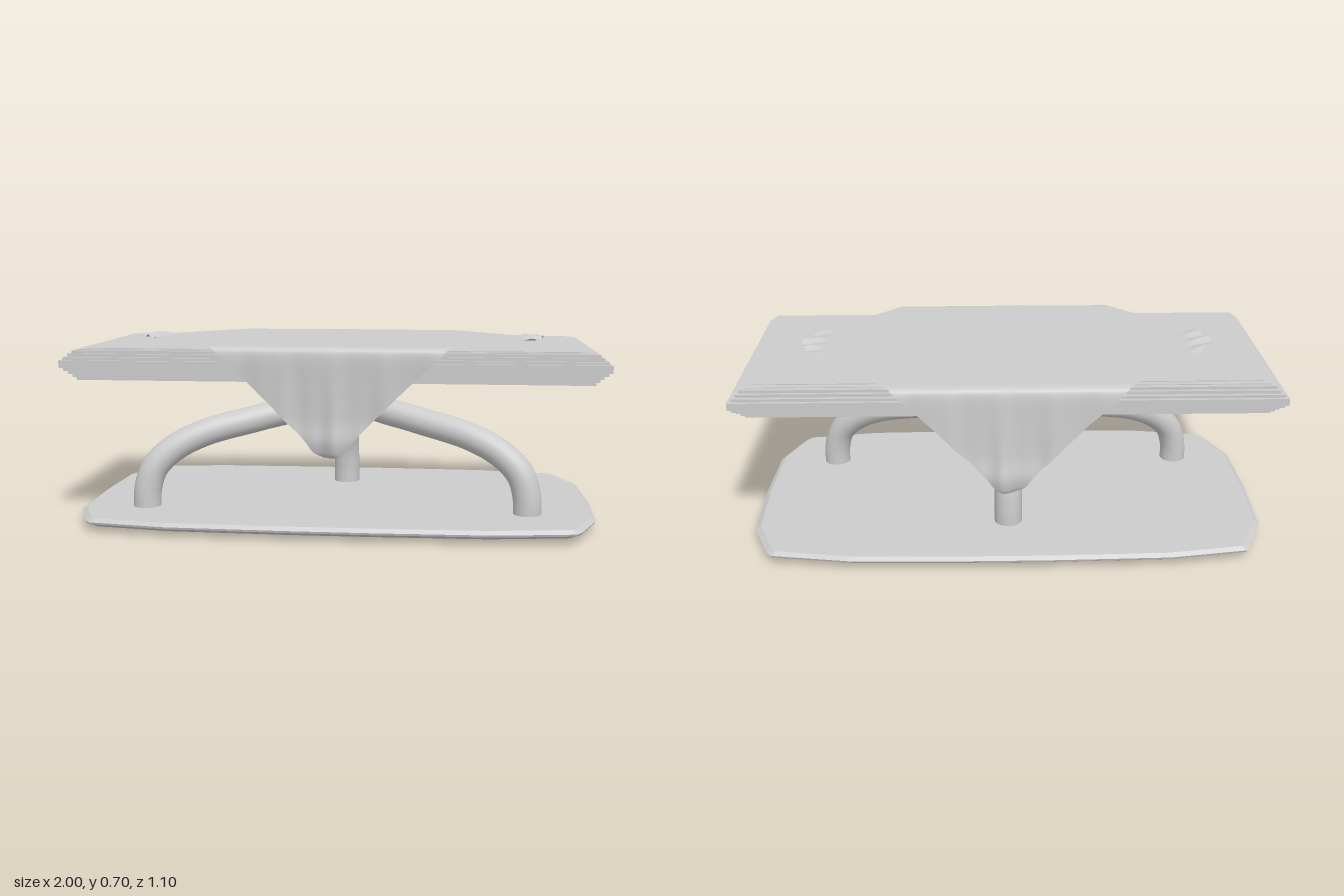
import * as THREE from 'three';

const grey = new THREE.MeshStandardMaterial({ color: 0xcccccc });
const flat = new THREE.MeshStandardMaterial({ color: 0xcccccc, flatShading: true });
const thin = new THREE.MeshStandardMaterial({ color: 0xcccccc, side: THREE.DoubleSide });

function add(parent, name, geometry, material) {
  const mesh = new THREE.Mesh(geometry, material);
  mesh.name = name;
  parent.add(mesh);
  return mesh;
}

// Skin a list of equally long rows of [x, y, z] points
function skin(rows, closed) {
  const n = rows[0].length, index = [];
  for (let r = 0; r < rows.length - 1; r++) {
    for (let i = 0; i < (closed ? n : n - 1); i++) {
      const a = r * n + i, b = r * n + (i + 1) % n, c = a + n, d = b + n;
      index.push(a, c, b, b, c, d);
    }
  }
  const g = new THREE.BufferGeometry();
  g.setAttribute('position', new THREE.Float32BufferAttribute(rows.flat(2), 3));
  g.setIndex(index);
  g.computeVertexNormals();
  return g;
}

// Long bevelled slab, outline mirrored from one quarter
function baseGeometry() {
  const q = [[0.98, 0.3], [0.91, 0.47], [0.89, 0.497], [0.6, 0.54], [0.15, 0.55]];
  const back = [...q].reverse();
  const outline = [
    [0.99, 0], ...q, ...back.map(([x, z]) => [-x, z]),
    [-0.99, 0], ...q.map(([x, z]) => [-x, -z]), ...back.map(([x, z]) => [x, -z]),
  ];
  const profile = [[0.001, 0], [0.35, 0.002], [0.85, 0.011], [0.965, 0.019], [0.995, 0.03],
    [1, 0.038], [0.98, 0.052], [0.001, 0.053]];
  const rows = profile.map(([s, y]) => outline.map(([x, z]) => [x * s, y, z * s]));
  const g = skin(rows, true).toNonIndexed();
  g.computeVertexNormals();
  return g;
}

// Cloth laid across the top, with a pointed flap hanging at front and back
function clothGeometry() {
  // z, y, half width from the middle to the front tip
  const half = [[0.04, 0.69, 0.785], [0.09, 0.69, 0.76], [0.25, 0.69, 0.62], [0.4, 0.69, 0.475],
    [0.445, 0.688, 0.435], [0.461, 0.68, 0.42], [0.467, 0.66, 0.4], [0.463, 0.55, 0.285],
    [0.458, 0.42, 0.155], [0.462, 0.345, 0.085], [0.452, 0.305, 0.055], [0.441, 0.287, 0.02]];
  const rear = [...half].reverse().map(([z, y, w]) => [-z - 0.09 * Math.max(0, 0.68 - y), y, w]);
  const path = new THREE.CatmullRomCurve3(
    [...rear, [0, 0.69, 0.795], ...half].map((p) => new THREE.Vector3(...p)));
  const rows = path.getPoints(140).map((p) => {
    const row = [], side = Math.sign(p.x), drop = Math.max(0, 0.68 - p.y);
    for (let i = 0; i <= 64; i++) {
      const x = (i / 32 - 1) * p.z;
      // soft folds in the flaps, crumples at the side tips, a crease in the middle
      const fold = drop * (0.03 * Math.sin(x * 32 + 1) + 0.015 * Math.sin(x * 70));
      const tip = THREE.MathUtils.smoothstep(Math.abs(x), 0.68, 0.76) * (drop > 0 ? 0 : 1);
      const crumple = tip * (0.007 + 0.007 * Math.sin(p.x * 75 + x * 40));
      const crease = drop > 0 ? 0 : 0.002 * Math.exp(-((x / 0.03) ** 2));
      row.push([x, p.y + crumple + crease, p.x + side * fold]);
    }
    return row;
  });
  return skin(rows, false);
}

export function createModel() {
  const model = new THREE.Group();
  model.name = 'coffeeTable';

  add(model, 'base', baseGeometry(), flat);

  // Three bent legs that meet in a short post: [share of reach, height]
  const bend = [[1, 0.04], [0.995, 0.12], [0.96, 0.2], [0.87, 0.268], [0.71, 0.327],
    [0.42, 0.38], [0.17, 0.425], [0.035, 0.485], [0, 0.53], [0, 0.565]];
  const feet = { leftLeg: [0.73, 0.265], rightLeg: [-0.73, 0.265], backLeg: [0, -0.272] };
  for (const [name, [x, z]] of Object.entries(feet)) {
    const curve = new THREE.CatmullRomCurve3(
      bend.map(([f, y]) => new THREE.Vector3(x * f, y, z * f)));
    add(model, name, new THREE.TubeGeometry(curve, 48, 0.053, 24), grey);
  }

  // Table top: stacked boards with stepped edges, [bottom, top, inset]
  const top = new THREE.Group();
  top.name = 'tableTop';
  model.add(top);
  const boards = [[0.555, 0.567, 0.05], [0.567, 0.58, 0.038], [0.58, 0.592, 0.026],
    [0.592, 0.605, 0.012], [0.605, 0.632, 0], [0.632, 0.643, 0.012], [0.643, 0.655, 0.026],
    [0.655, 0.666, 0.038], [0.666, 0.669, 0.056], [0.669, 0.672, 0.08]];
  for (const [y0, y1, inset] of boards) {
    const board = add(top, 'board',
      new THREE.BoxGeometry(2 - 2 * inset, y1 - y0, 0.884 - 2 * inset), grey);
    board.position.y = (y0 + y1) / 2;
  }

  add(model, 'tablecloth', clothGeometry(), thin);
  return model;
}
